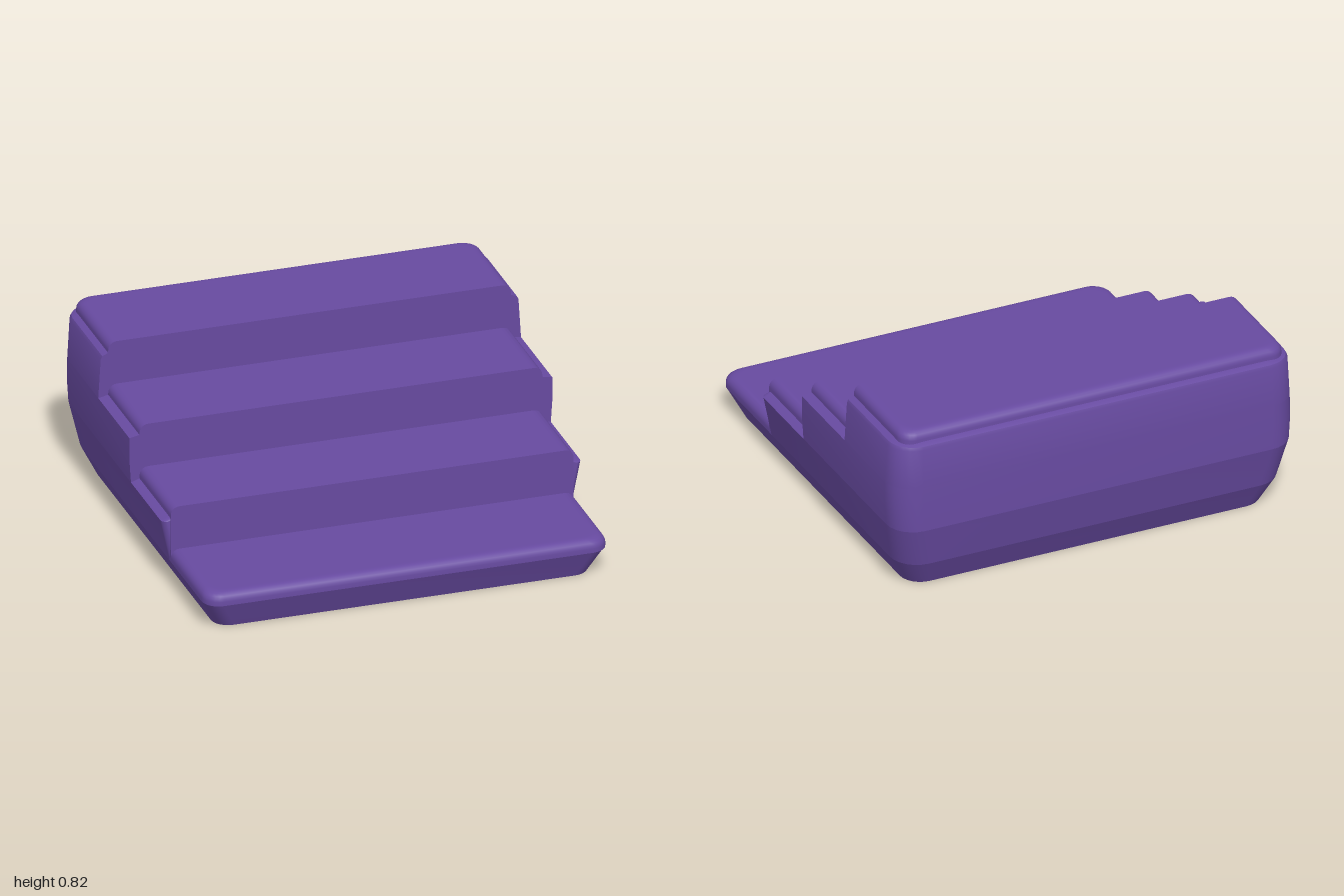
import * as THREE from 'three';
import { toCreasedNormals } from 'three/addons/utils/BufferGeometryUtils.js';

const SEGMENTS = 6;

// Rounded rectangle in plan; a zero radius gives a single sharp corner.
function ring([y, w, zFront, zBack, rFront, rBack]) {
  const points = [];
  const corners = [[1, 1], [-1, 1], [-1, -1], [1, -1]];
  corners.forEach(([sx, sz], k) => {
    const r = sz > 0 ? rFront : rBack;
    const cx = sx * (w - r);
    const cz = sz > 0 ? zFront - r : zBack + r;
    const n = r > 0 ? SEGMENTS : 0;
    for (let i = 0; i <= n; i++) {
      const a = (k + (n ? i / n : 0)) * Math.PI / 2;
      points.push(n ? [cx + r * Math.cos(a), y, cz + r * Math.sin(a)] : [cx, y, cz]);
    }
  });
  return points;
}

// Closed solid through rings [y, halfWidth, zFront, zBack, frontRadius, backRadius].
function loft(levels) {
  const rings = levels.map(ring);
  const n = rings[0].length;
  const positions = rings.flat(2);
  const index = [];
  for (let k = 0; k < rings.length - 1; k++) {
    for (let i = 0; i < n; i++) {
      const j = (i + 1) % n;
      const a = k * n + i, b = k * n + j;
      index.push(a, a + n, b + n, a + n, b + n, b);
      index.splice(-3, 3, a, b + n, b);
    }
  }
  const top = (rings.length - 1) * n;
  for (let i = 1; i < n - 1; i++) {
    index.push(0, i, i + 1);
    index.push(top, top + i + 1, top + i);
  }
  const geometry = new THREE.BufferGeometry();
  geometry.setAttribute('position', new THREE.Float32BufferAttribute(positions, 3));
  geometry.setIndex(index);
  return toCreasedNormals(geometry, 0.6);
}

// Softly rounded top edge; frontInset 0 keeps the riser flat.
function roundedTop(y0, y1, w, zFront, zBack, rFront, rBack, radius, frontInset) {
  const levels = [[y0, w, zFront, zBack, rFront, rBack]];
  for (let i = 0; i <= 5; i++) {
    const a = i / 5 * Math.PI / 2;
    const d = radius * (1 - Math.cos(a));
    levels.push([y1 - radius * (1 - Math.sin(a)), w - d, zFront - d * frontInset, zBack + d, rFront, rBack]);
  }
  const d = radius + 0.015;
  levels.push([y1, w - d, zFront - d * frontInset, zBack + d, rFront, rBack]);
  return levels;
}

export function createModel() {
  const group = new THREE.Group();
  group.name = 'stairs';
  const purple = new THREE.MeshStandardMaterial({ color: 0x674aa0 });
  purple.name = 'purple';
  const add = (name, levels) => {
    const mesh = new THREE.Mesh(loft(levels), purple);
    mesh.name = name;
    group.add(mesh);
  };

  // Flared base under the whole flight
  add('base', [
    [0, 0.885, 0.91, -0.86, 0.08, 0.1],
    [0.13, 0.95, 0.965, -0.925, 0.08, 0.13],
  ]);

  // Lowest tread, rounded at the front
  add('lowestTread', roundedTop(0.13, 0.19, 0.95, 0.972, 0.4, 0.08, 0, 0.04, 1));

  // Bulging side shell, stepped back tier by tier
  add('lowerShell', [
    [0.13, 0.95, 0.46, -0.925, 0.03, 0.13],
    [0.33, 0.99, 0.46, -0.97, 0.03, 0.13],
    [0.345, 0.95, 0.46, -0.94, 0.03, 0.13],
  ]);
  add('middleShell', [
    [0.33, 0.99, 0.02, -0.97, 0, 0.13],
    [0.45, 0.998, 0.02, -0.969, 0, 0.13],
    [0.55, 0.997, 0.02, -0.965, 0, 0.13],
    [0.56, 0.95, 0.02, -0.93, 0, 0.13],
  ]);
  add('upperShell', [
    [0.55, 0.997, -0.42, -0.965, 0, 0.13],
    [0.74, 0.985, -0.42, -0.96, 0, 0.12],
    [0.755, 0.978, -0.42, -0.955, 0, 0.12],
    [0.767, 0.95, -0.42, -0.93, 0, 0.1],
  ]);

  // Raised treads with flat risers
  const treads = [
    ['secondTread', 0.13, 0.40, 0.46, -0.05, 0],
    ['thirdTread', 0.33, 0.61, 0.02, -0.5, 0],
    ['topTread', 0.55, 0.82, -0.42, -0.93, 0.07],
  ];
  for (const [name, y0, y1, zFront, zBack, rBack] of treads) {
    add(name, roundedTop(y0, y1, 0.95, zFront + 0.001, zBack, 0, rBack, 0.04, 0));
  }
  return group;
}
